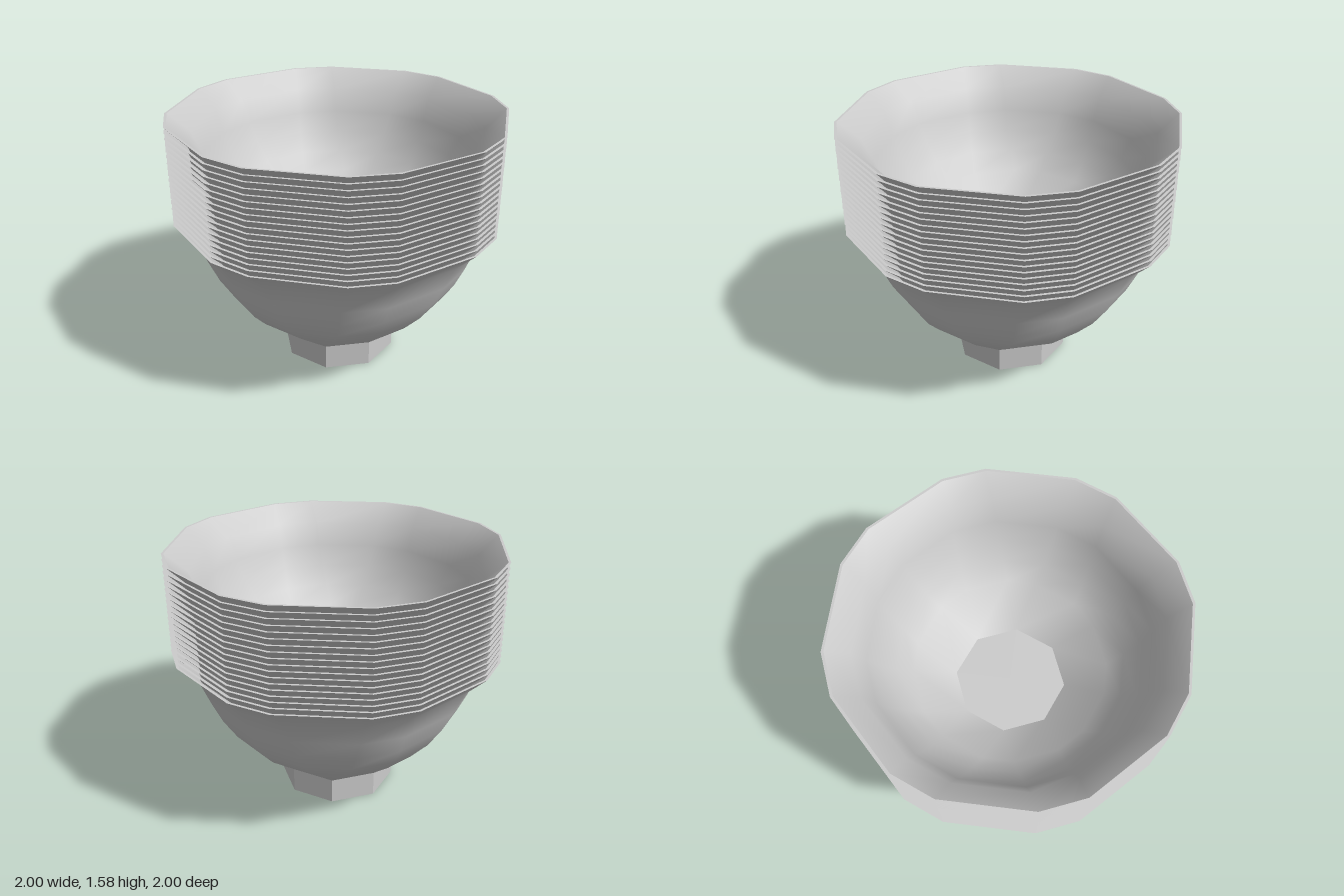
import * as THREE from 'three';
import { mergeVertices } from 'three/addons/utils/BufferGeometryUtils.js';

const SIDES = 8;
const TAN = Math.tan(Math.PI / SIDES);
const BASE_R = 0.333, BASE_Y = 0.16;
const COUNT = 18, STEP = 0.6 / (COUNT - 1);

// One cross-section: eight flat sides of nearly constant width, pushed out to distance r.
function section(r, y) {
  const half = r <= BASE_R ? r * TAN : THREE.MathUtils.mapLinear(r, BASE_R, 1, BASE_R * TAN, 0.13);
  const points = [];
  for (let k = 0; k < SIDES; k++) {
    const a = (k / SIDES) * Math.PI * 2, c = Math.cos(a), s = Math.sin(a);
    for (const w of [-half, half]) points.push(r * c - w * s, y, r * s + w * c);
  }
  return points;
}

// Skin a profile of [r, y] pairs; an upward profile faces outwards, a downward one inwards.
function loft(profile) {
  const n = SIDES * 2, index = [];
  for (let i = 0; i < profile.length - 1; i++) {
    for (let j = 0; j < n; j++) {
      const a = i * n + j, b = i * n + ((j + 1) % n), c = a + n, d = b + n;
      index.push(a, c, b, b, c, d);
    }
  }
  let geometry = new THREE.BufferGeometry();
  const positions = profile.flatMap(([r, y]) => section(r, y));
  geometry.setAttribute('position', new THREE.Float32BufferAttribute(positions, 3));
  geometry.setIndex(index);
  geometry = mergeVertices(geometry, 1e-4);
  geometry.computeVertexNormals();
  return geometry;
}

export function createModel() {
  const group = new THREE.Group();
  group.name = 'bowlStack';
  const material = new THREE.MeshStandardMaterial({ color: 0xcccccc });

  const outer = [[BASE_R, BASE_Y], [0.58, 0.36], [0.678, 0.465], [0.758, 0.588],
    [0.817, 0.716], [0.876, 0.86], [1, 0.98]];
  const inner = [[0.985, 0.98], [0.862, 0.865], [0.801, 0.722], [0.744, 0.597],
    [0.664, 0.477], [0.568, 0.372], [0.316, 0.175]];
  const parts = {
    outerWall: loft(outer),
    rim: loft([[1, 0.98], [0.985, 0.98]]),
    innerWall: loft(inner),
    floor: loft([[0.316, 0.175], [0, 0.175]]),
    underside: loft([[0, BASE_Y], [BASE_R, BASE_Y]]),
  };

  // Nested bowls, each raised by one step
  for (let i = 0; i < COUNT; i++) {
    const bowl = new THREE.Group();
    bowl.name = `bowl${i + 1}`;
    bowl.position.y = i * STEP;
    for (const [name, geometry] of Object.entries(parts)) {
      const mesh = new THREE.Mesh(geometry, material);
      mesh.name = name;
      bowl.add(mesh);
    }
    group.add(bowl);
  }

  // Open eight-sided foot ring under the lowest bowl
  const footRadius = BASE_R / Math.cos(Math.PI / SIDES);
  const foot = new THREE.Mesh(
    new THREE.CylinderGeometry(footRadius, footRadius, BASE_Y, SIDES, 1, true),
    new THREE.MeshStandardMaterial({ color: 0xcccccc, flatShading: true, side: THREE.DoubleSide })
  );
  foot.name = 'footRing';
  foot.rotation.y = Math.PI / SIDES;
  foot.position.y = BASE_Y / 2;
  group.add(foot);
  return group;
}
